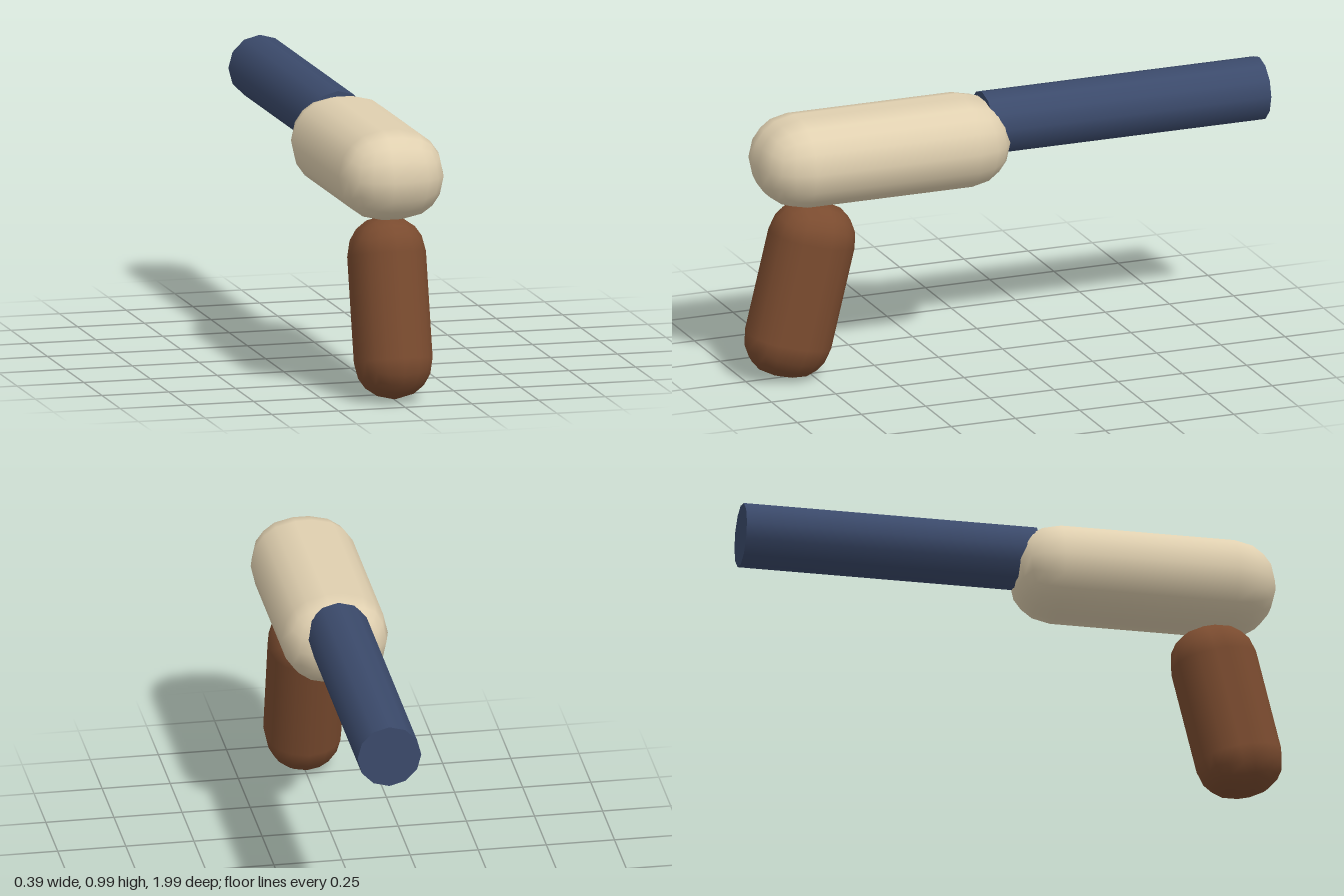
import * as THREE from 'three';
import { RoundedBoxGeometry } from 'three/addons/geometries/RoundedBoxGeometry.js';

function part(name, geometry, color, y, z, tilt) {
  const mesh = new THREE.Mesh(geometry, new THREE.MeshStandardMaterial({ color }));
  mesh.name = name;
  mesh.position.set(0, y, z);
  mesh.rotation.x = tilt;
  return mesh;
}

export function createModel() {
  const group = new THREE.Group();
  group.name = 'toyBlaster';

  // Soft rounded body, its corner radius as large as the height allows
  group.add(part('body', new RoundedBoxGeometry(0.392, 0.332, 0.972, 2, 0.166), 0xe0d0b0, 0.82, 0.48, 0));

  // Handle leaning with its foot forward
  group.add(part('grip', new RoundedBoxGeometry(0.28, 0.666, 0.324, 2, 0.14), 0x7a4b2f, 0.33, 0.79, -0.24));

  // Twelve-sided barrel, its inner end sunk into the body
  group.add(part('barrel', new THREE.CylinderGeometry(0.117, 0.117, 1.08, 12), 0x3b4a6b, 0.873, -0.46, Math.PI / 2));

  return group;
}
